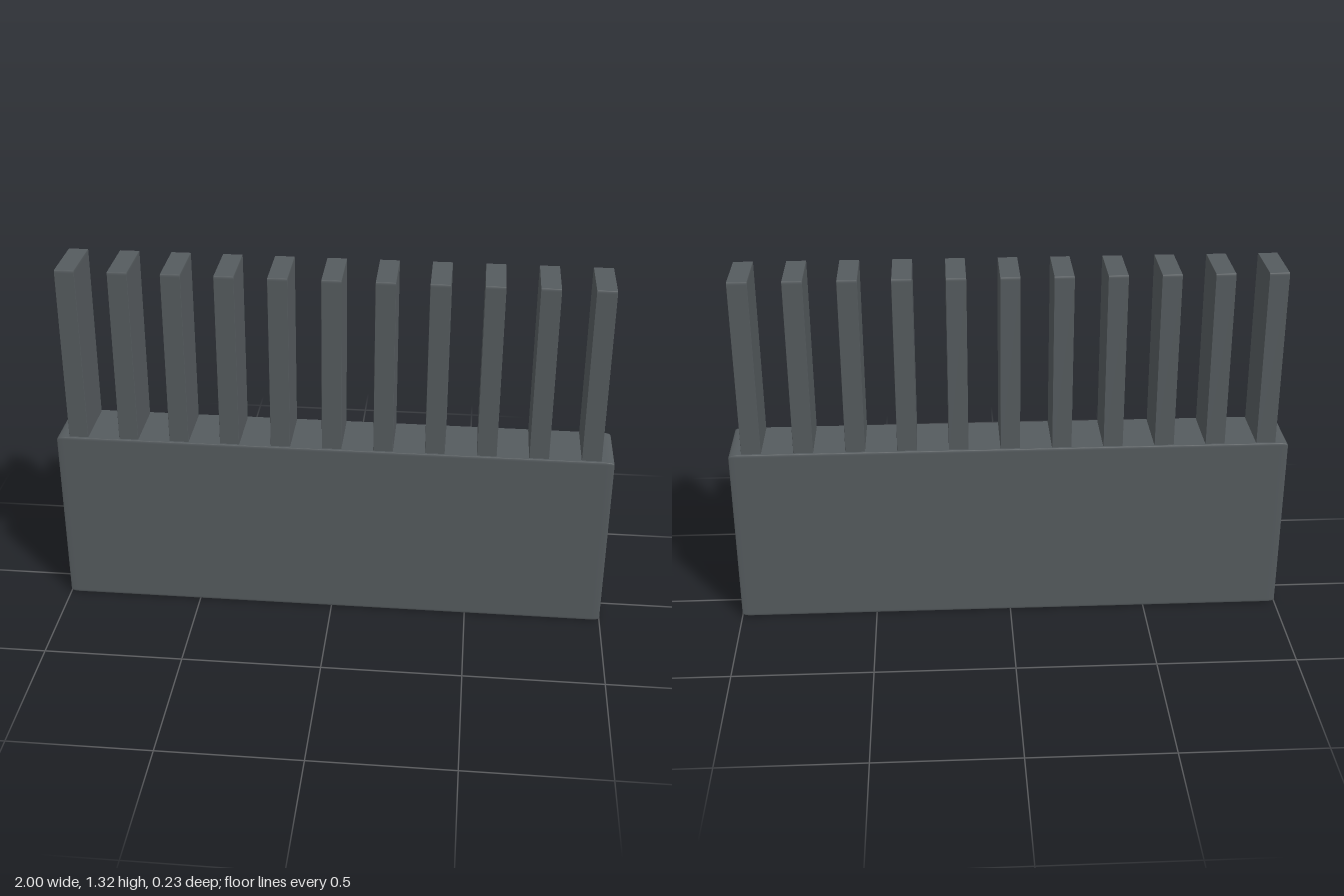
import * as THREE from 'three';
import { RoundedBoxGeometry } from 'three/addons/geometries/RoundedBoxGeometry.js';

export function createModel() {
  const model = new THREE.Group();
  model.name = 'finnedBlock';
  const slate = new THREE.MeshStandardMaterial({ color: 0x555b5e });
  slate.name = 'slateGrey';

  // Softened unit cube stretched to size, standing on the given height
  function block(name, width, height, depth, x, bottom) {
    const geometry = new RoundedBoxGeometry(1, 1, 1, 3, 0.015);
    geometry.scale(width, height, depth);
    const mesh = new THREE.Mesh(geometry, slate);
    mesh.name = name;
    mesh.position.set(x, bottom + height / 2, 0);
    model.add(mesh);
  }

  // Solid base
  block('base', 2, 0.67, 0.23, 0, 0);

  // Row of upright fins, sunk slightly into the base
  const count = 11, spacing = 0.184, top = 1.315, bottom = 0.64;
  for (let i = 0; i < count; i++) {
    const x = (i - (count - 1) / 2) * spacing;
    block(`fin${i + 1}`, 0.07, top - bottom, 0.21, x, bottom);
  }
  return model;
}
